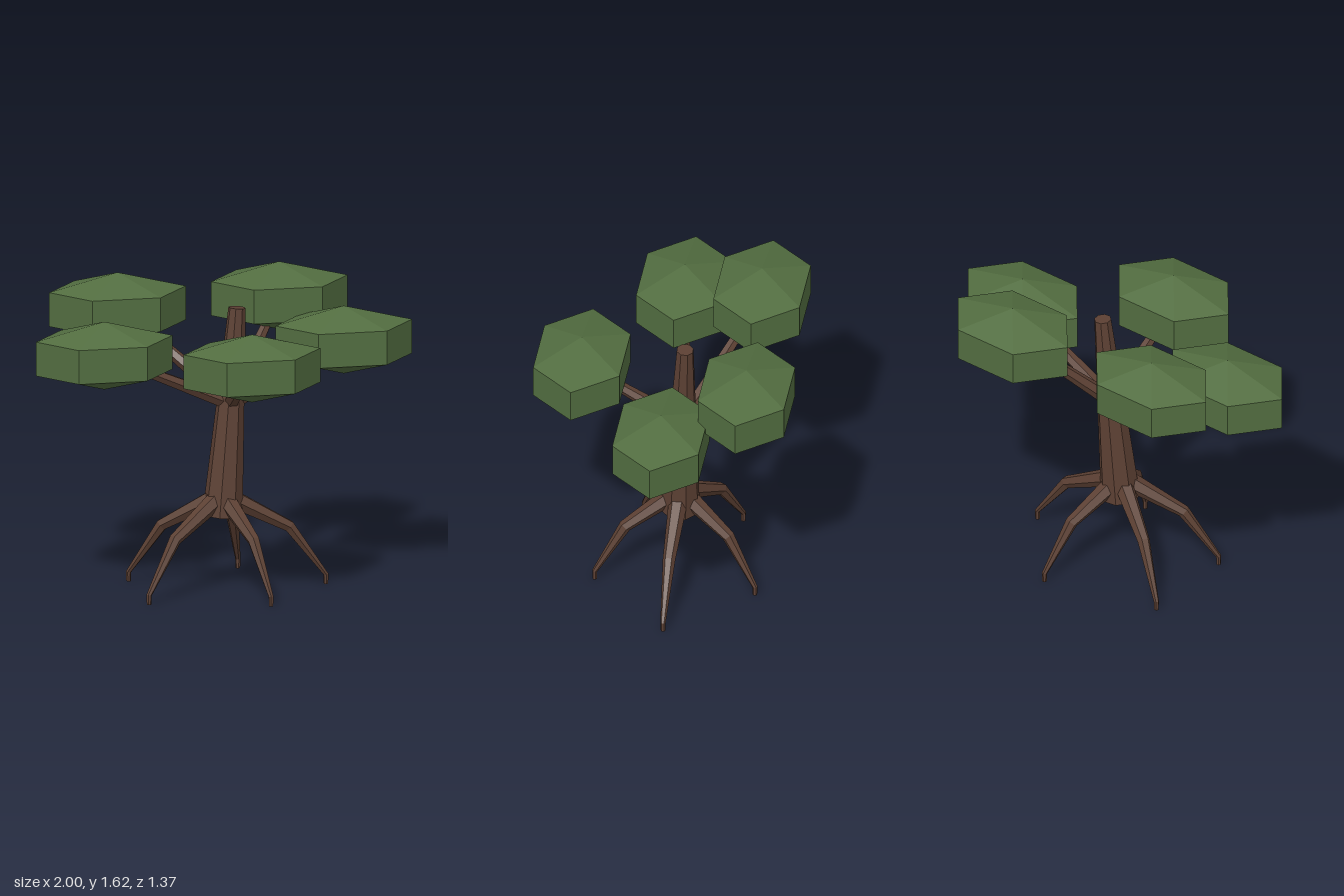
import * as THREE from 'three';

const bark = new THREE.MeshStandardMaterial({ color: 0x5c4033, flatShading: true });
bark.name = 'bark brown';
const leaf = new THREE.MeshStandardMaterial({ color: 0x526d40, flatShading: true });
leaf.name = 'leaf green';

// Faceted tapering limb through points lying in one vertical plane, closed at both ends
function limb(name, points, radii, sides) {
  const first = points[0], last = points[points.length - 1];
  const across = new THREE.Vector3(last.z - first.z, 0, first.x - last.x).normalize();
  const rings = points.map((p, i) => {
    const before = points[Math.max(i - 1, 0)];
    const after = points[Math.min(i + 1, points.length - 1)];
    const t = new THREE.Vector3();
    if (i > 0) t.add(p.clone().sub(before).normalize());
    if (i < points.length - 1) t.add(after.clone().sub(p).normalize());
    t.normalize();
    const n = t.clone().cross(across);
    return Array.from({ length: sides }, (_, j) => {
      const a = (j / sides) * Math.PI * 2;
      return p.clone()
        .addScaledVector(across, Math.cos(a) * radii[i])
        .addScaledVector(n, Math.sin(a) * radii[i]);
    });
  });
  const tris = [];
  const end = rings[rings.length - 1];
  for (let j = 0; j < sides; j++) {
    const k = (j + 1) % sides;
    for (let i = 0; i < rings.length - 1; i++) {
      const [a, b, c, d] = [rings[i][j], rings[i][k], rings[i + 1][k], rings[i + 1][j]];
      tris.push(a, b, c, a, c, d);
    }
    tris.push(first, rings[0][k], rings[0][j], last, end[j], end[k]);
  }
  const geometry = new THREE.BufferGeometry().setFromPoints(tris);
  geometry.computeVertexNormals();
  const mesh = new THREE.Mesh(geometry, bark);
  mesh.name = name;
  return mesh;
}

export function createModel() {
  const tree = new THREE.Group();
  tree.name = 'stiltRootTree';
  const v = (x, y, z) => new THREE.Vector3(x, y, z);

  // Leaning trunk
  const base = v(0, 0.39, -0.05), top = v(0.085, 1.48, -0.09);
  tree.add(limb('trunk', [base, top], [0.105, 0.045], 8));

  // Five arching stilt roots on an oval
  const roots = new THREE.Group();
  roots.name = 'roots';
  for (let i = 0; i < 5; i++) {
    const a = (i / 5) * Math.PI * 2;
    const at = (f, y) => v(Math.cos(a) * 0.545 * f, y, -0.05 + Math.sin(a) * 0.44 * f);
    roots.add(limb('root', [at(0.1, 0.475), at(0.645, 0.315), at(1, 0.05), at(1, 0)],
      [0.05, 0.033, 0.014, 0.012], 6));
  }
  tree.add(roots);

  // Branches, each carrying a flattened six-sided leaf clump
  const branches = new THREE.Group();
  branches.name = 'branches';
  const canopy = new THREE.Group();
  canopy.name = 'canopy';
  const clump = new THREE.SphereGeometry(1, 6, 3).scale(0.416, 0.18, 0.3);
  const fork = base.clone().lerp(top, 0.54);
  const centres = [
    [0.05, 1.29, 0.455], [-0.64, 1.29, 0.03], [-0.48, 1.44, -0.4],
    [0.385, 1.44, -0.46], [0.64, 1.29, -0.055],
  ];
  for (const c of centres) {
    const centre = v(...c);
    branches.add(limb('branch', [fork, centre], [0.042, 0.022], 6));
    const leaves = new THREE.Mesh(clump, leaf);
    leaves.name = 'leafClump';
    leaves.position.copy(centre);
    canopy.add(leaves);
  }
  tree.add(branches, canopy);
  return tree;
}
